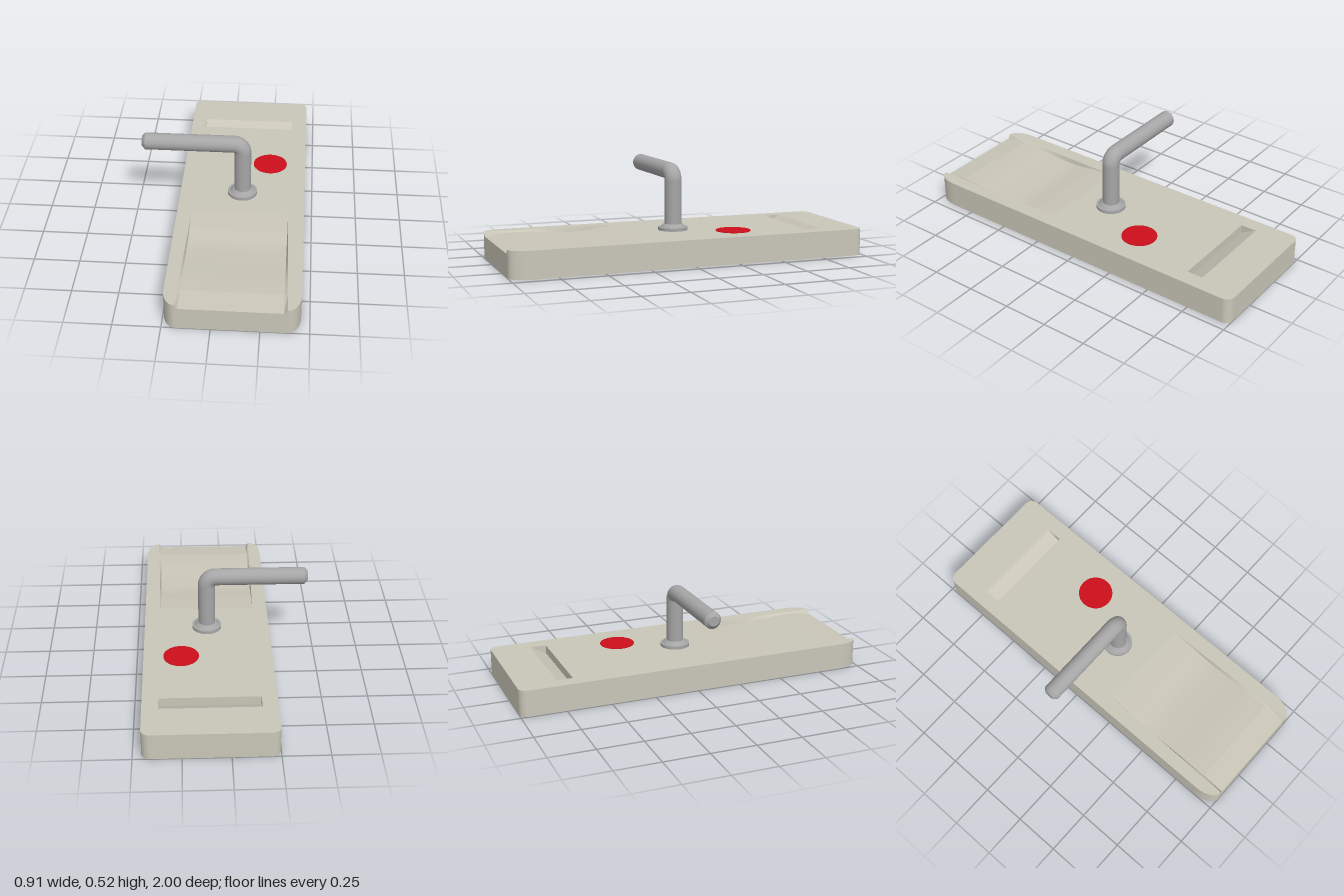
import * as THREE from 'three';

const TOP = 0.148, MID = 0.09;          // plate top, height of the solid lower slab
const X0 = -0.247, X1 = 0.455;          // plate sides
const IN0 = -0.165, IN1 = 0.367;        // recess sides

const plateMat = new THREE.MeshStandardMaterial({ color: 0xc9c6b8, side: THREE.DoubleSide });
const metalMat = new THREE.MeshStandardMaterial({ color: 0xa6a6a6 });
const redMat = new THREE.MeshStandardMaterial({ color: 0xcc0f1a });

function add(parent, name, geometry, material, x = 0, y = 0, z = 0) {
  const mesh = new THREE.Mesh(geometry, material);
  mesh.name = name;
  mesh.position.set(x, y, z);
  parent.add(mesh);
  return mesh;
}

// Plate outline in (x, -z); the front is at y = -1
function outline(notched) {
  const s = new THREE.Shape();
  const rx = 0.067, rz = 0.12, r = 0.045, h = Math.PI / 2;
  s.moveTo(X0 + rx, -1);
  if (notched) {
    s.lineTo(IN0, -0.2);
    s.lineTo(IN1, -0.2);
  }
  s.lineTo(X1 - rx, -1);
  s.absellipse(X1 - rx, -1 + rz, rx, rz, -h, 0, false);
  s.lineTo(X1, 1 - r);
  s.absarc(X1 - r, 1 - r, r, 0, h, false);
  s.lineTo(X0 + r, 1);
  s.absarc(X0 + r, 1 - r, r, h, 2 * h, false);
  s.lineTo(X0, -1 + rz);
  s.absellipse(X0 + rx, -1 + rz, rx, rz, 2 * h, 3 * h, false);
  return s;
}

function slab(shape, y0, y1) {
  const g = new THREE.ExtrudeGeometry(shape, { depth: y1 - y0, bevelEnabled: false, curveSegments: 8 });
  return g.rotateX(-Math.PI / 2).translate(0, y0, 0);
}

// Strip surface joining consecutive cross-sections of equal length
function loft(rows) {
  const n = rows[0].length, index = [];
  for (let i = 0; i < rows.length - 1; i++) {
    for (let j = 0; j < n - 1; j++) {
      const a = i * n + j, b = a + n;
      index.push(a, b, a + 1, b, b + 1, a + 1);
    }
  }
  const g = new THREE.BufferGeometry();
  g.setAttribute('position', new THREE.Float32BufferAttribute(rows.flat(2), 3));
  g.setIndex(index);
  g.computeVertexNormals();
  return g;
}

export function createModel() {
  const model = new THREE.Group();
  model.name = 'leverPlate';

  // Plate: solid lower slab, upper slab with front notch and rear slot
  const plate = new THREE.Group();
  plate.name = 'plate';
  model.add(plate);
  add(plate, 'plateBase', slab(outline(false), 0, MID), plateMat);
  const upper = outline(true);
  upper.holes.push(new THREE.Path([[IN0, 0.69], [IN0, 0.78], [IN1, 0.78], [IN1, 0.69]]
    .map(([x, y]) => new THREE.Vector2(x, y))));
  add(plate, 'plateTop', slab(upper, MID, TOP), plateMat);

  // Sloping floor of the rear slot
  add(plate, 'slotRamp', loft([
    [[IN0, TOP, -0.78], [IN1, TOP, -0.78]],
    [[IN0, 0.1, -0.69], [IN1, 0.1, -0.69]],
  ]), plateMat);

  // Shallow front scoop with flared sides
  const profile = new THREE.SplineCurve([
    [0.2, TOP], [0.33, 0.138], [0.46, 0.122], [0.6, 0.126], [0.75, 0.137], [0.87, 0.14],
  ].map(([z, y]) => new THREE.Vector2(z, y)));
  const section = (z, y) => {
    const flare = 0.015 * (z - 0.2) / 0.8;
    return [[IN0 - flare, TOP, z], [IN0, y, z], [IN1, y, z], [IN1 + flare * 1.4, TOP, z]];
  };
  const rows = profile.getPoints(24).map((p) => section(p.x, p.y));
  const pick = (from, to) => rows.map((r) => r.slice(from, to));
  add(plate, 'scoopFloor', loft(pick(1, 3)), plateMat);
  add(plate, 'scoopSideRight', loft(pick(0, 2)), plateMat);
  add(plate, 'scoopSideLeft', loft(pick(2, 4)), plateMat);
  const lip = section(1, 0.125);
  add(plate, 'scoopLip', loft([section(0.87, 0.14), lip]).toNonIndexed(), plateMat).geometry.computeVertexNormals();
  add(plate, 'scoopFront', loft([lip, lip.map(([x, , z]) => [x, MID, z])]), plateMat);

  // Round red button, flush with the plate
  add(model, 'button', new THREE.CylinderGeometry(0.097, 0.097, 0.004, 48), redMat, 0.25, TOP + 0.001, -0.3);

  // Handle: stepped collar, post, quarter bend and lever with a tapered tip
  const handle = new THREE.Group();
  handle.name = 'handle';
  model.add(handle);
  const px = 0.104, r = 0.047, bend = 0.05, py = 0.42;
  add(handle, 'collarDisc', new THREE.CylinderGeometry(0.082, 0.082, 0.017, 40), metalMat, px, 0.1565, 0);
  add(handle, 'collarCone', new THREE.CylinderGeometry(0.052, 0.07, 0.018, 40), metalMat, px, 0.174, 0);
  add(handle, 'post', new THREE.CylinderGeometry(r, r, py - TOP, 32), metalMat, px, (py + TOP) / 2, 0);
  add(handle, 'bend', new THREE.TorusGeometry(bend, r, 32, 16, Math.PI / 2), metalMat, px - bend, py, 0);
  const tip = -0.438, len = px - bend - tip;
  add(handle, 'lever', new THREE.CylinderGeometry(r, r, len, 32), metalMat, tip + len / 2, py + bend, 0)
    .rotation.z = Math.PI / 2;
  add(handle, 'leverTip', new THREE.CylinderGeometry(0.028, r, 0.018, 32), metalMat, tip - 0.009, py + bend, 0)
    .rotation.z = Math.PI / 2;

  return model;
}
